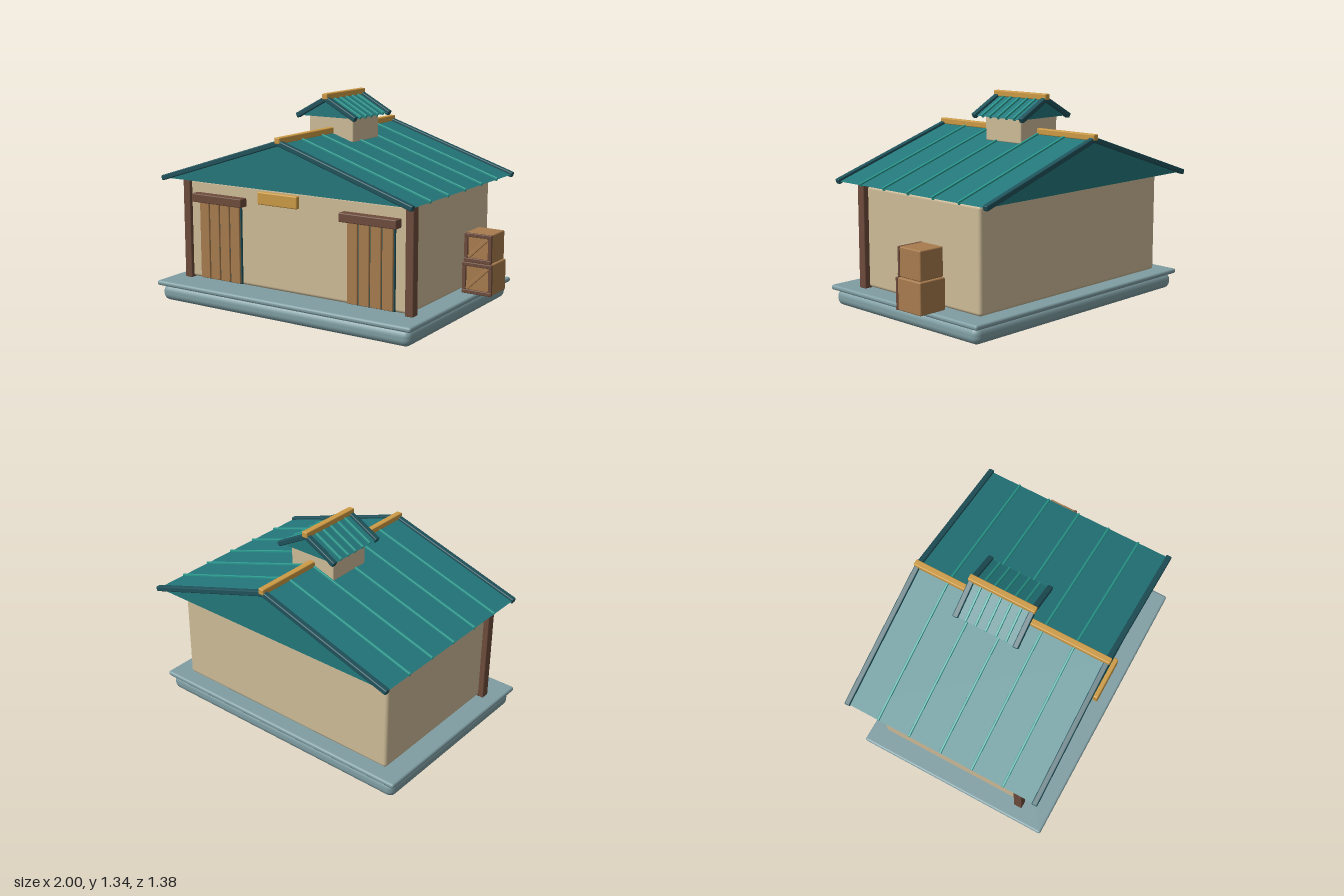
import * as THREE from 'three';
import { RoundedBoxGeometry } from 'three/addons/geometries/RoundedBoxGeometry.js';

const paint = (name, color) => {
  const m = new THREE.MeshStandardMaterial({ color });
  m.name = name;
  return m;
};

export function createModel() {
  const stone = paint('blue grey stone', 0x7f9ea3);
  const plaster = paint('cream plaster', 0xcebc98);
  const roofTeal = paint('roof teal', 0x23777b);
  const trimTeal = paint('dark teal trim', 0x1f525b);
  const seamTeal = paint('bright teal seam', 0x2a9a8f);
  const gold = paint('gold', 0xcc9a44);
  const wood = paint('light wood', 0xa87c4e);
  const darkWood = paint('dark wood', 0x6d4b3b);

  const model = new THREE.Group();
  model.name = 'storehouse';
  const CX = -0.06; // centre line of the building

  // Softly rounded box given by its minimum and maximum corners
  const box = (parent, name, mat, [x0, y0, z0], [x1, y1, z1], radius = 0.006, segments = 2) => {
    const mesh = new THREE.Mesh(
      new RoundedBoxGeometry(x1 - x0, y1 - y0, z1 - z0, segments, radius), mat);
    mesh.position.set((x0 + x1) / 2, (y0 + y1) / 2, (z0 + z1) / 2);
    mesh.name = name;
    parent.add(mesh);
    return mesh;
  };

  // Platform
  box(model, 'foundation', stone, [-0.98, 0, -0.61], [0.86, 0.105, 0.67], 0.045, 3);
  box(model, 'floorSlab', stone, [-1, 0.1, -0.63], [0.88, 0.132, 0.69], 0.014);

  // Walls and corner posts
  box(model, 'walls', plaster, [CX - 0.815, 0.135, -0.535], [CX + 0.815, 0.782, 0.485], 0.022, 3);
  for (const side of [-1, 1]) {
    const x = CX + side * 0.825;
    box(model, 'cornerPost', darkWood, [x - 0.027, 0.13, 0.45], [x + 0.027, 0.805, 0.508]);
  }

  // Gable roof: solid prism, sloping edge boards, raised seams and a ridge cap
  const gableRoof = (name, o) => {
    const roof = new THREE.Group();
    roof.name = name;
    roof.position.x = CX;
    model.add(roof);
    const { half, eave, apex, z0, z1, board } = o;

    const shape = new THREE.Shape();
    shape.moveTo(-half, eave);
    shape.lineTo(half, eave);
    shape.lineTo(0, apex);
    shape.closePath();
    const prism = new THREE.Mesh(
      new THREE.ExtrudeGeometry(shape, { depth: z1 - z0 - board, bevelEnabled: false }), roofTeal);
    prism.position.z = z0 + board / 2;
    prism.name = 'roofBody';
    roof.add(prism);

    const rise = apex - eave;
    const length = Math.hypot(half, rise);
    const slopeBar = (part, mat, side, z, thick, depth, len) => {
      const bar = new THREE.Mesh(
        new RoundedBoxGeometry(len, thick, depth, 2, Math.min(thick, depth) * 0.2), mat);
      bar.position.set(side * half / 2, (eave + apex) / 2, z);
      bar.rotation.z = -side * Math.atan2(rise, half);
      bar.name = part;
      roof.add(bar);
    };
    for (const side of [-1, 1]) {
      for (const z of [z0 + board / 2, z1 - board / 2])
        slopeBar('edgeBoard', trimTeal, side, z, 0.033, board, length + 0.014);
      for (const z of o.seams) slopeBar('roofSeam', seamTeal, side, z, o.seam, 0.014, length);
    }
    box(roof, 'ridgeCap', gold, [-0.02, apex - 0.005, z0 - 0.003], [0.02, apex + 0.033, z1 + 0.003]);
  };

  gableRoof('mainRoof', {
    half: 0.908, eave: 0.8, apex: 1.093, z0: -0.692, z1: 0.645, board: 0.036,
    seams: [0.41, 0.195, -0.022, -0.24, -0.457], seam: 0.022,
  });

  // Roof vent with its own small roof
  box(model, 'ventWalls', plaster, [CX - 0.165, 1.04, -0.235], [CX + 0.165, 1.198, 0.07], 0.008);
  gableRoof('ventRoof', {
    half: 0.212, eave: 1.195, apex: 1.31, z0: -0.302, z1: 0.14, board: 0.036,
    seams: [0.055, -0.012, -0.081, -0.15, -0.217], seam: 0.024,
  });

  // Plank doors under a heavy lintel
  for (const x of [-0.617, 0.5]) {
    const door = new THREE.Group();
    door.name = 'door';
    door.position.x = x;
    model.add(door);
    box(door, 'doorBacking', trimTeal, [-0.164, 0.142, 0.47], [0.164, 0.66, 0.499], 0.004);
    for (let i = 0; i < 4; i++) {
      const px = (i - 1.5) * 0.081;
      box(door, 'doorPlank', wood, [px - 0.036, 0.147, 0.48], [px + 0.036, 0.655, 0.512], 0.004);
    }
    box(door, 'doorLintel', darkWood, [-0.197, 0.645, 0.475], [0.197, 0.7, 0.545]);
  }

  // Blank sign board hanging below the front gable
  box(model, 'signBoard', gold, [CX - 0.145, 0.712, 0.623], [CX + 0.145, 0.79, 0.656], 0.008);

  // Stacked crates with a framed, braced front
  const crate = (name, x, y, z, w, h, d) => {
    const g = new THREE.Group();
    g.name = name;
    g.position.set(x, y, z);
    model.add(g);
    const hw = w / 2, t = 0.024;
    box(g, 'crateBody', wood, [-hw + 0.003, 0, -d], [hw - 0.003, h, 0], 0.008);
    for (const y0 of [0, h - t])
      box(g, 'crateRail', darkWood, [-hw, y0, -0.004], [hw, y0 + t, 0.015], 0.004);
    for (const x0 of [-hw, hw - t])
      box(g, 'crateStile', darkWood, [x0, 0.002, -0.004], [x0 + t, h - 0.002, 0.013], 0.004);
    const iw = w - 2 * t, ih = h - 2 * t;
    const brace = new THREE.Mesh(
      new RoundedBoxGeometry(Math.hypot(iw, ih) - 0.02, 0.02, 0.018, 2, 0.003), wood);
    brace.position.set(0, h / 2, 0.009);
    brace.rotation.z = Math.atan2(ih, iw);
    brace.name = 'crateBrace';
    g.add(brace);
  };
  crate('lowerCrate', 0.9, 0.143, -0.1, 0.2, 0.197, 0.197);
  crate('upperCrate', 0.898, 0.341, -0.108, 0.184, 0.181, 0.18);

  return model;
}
